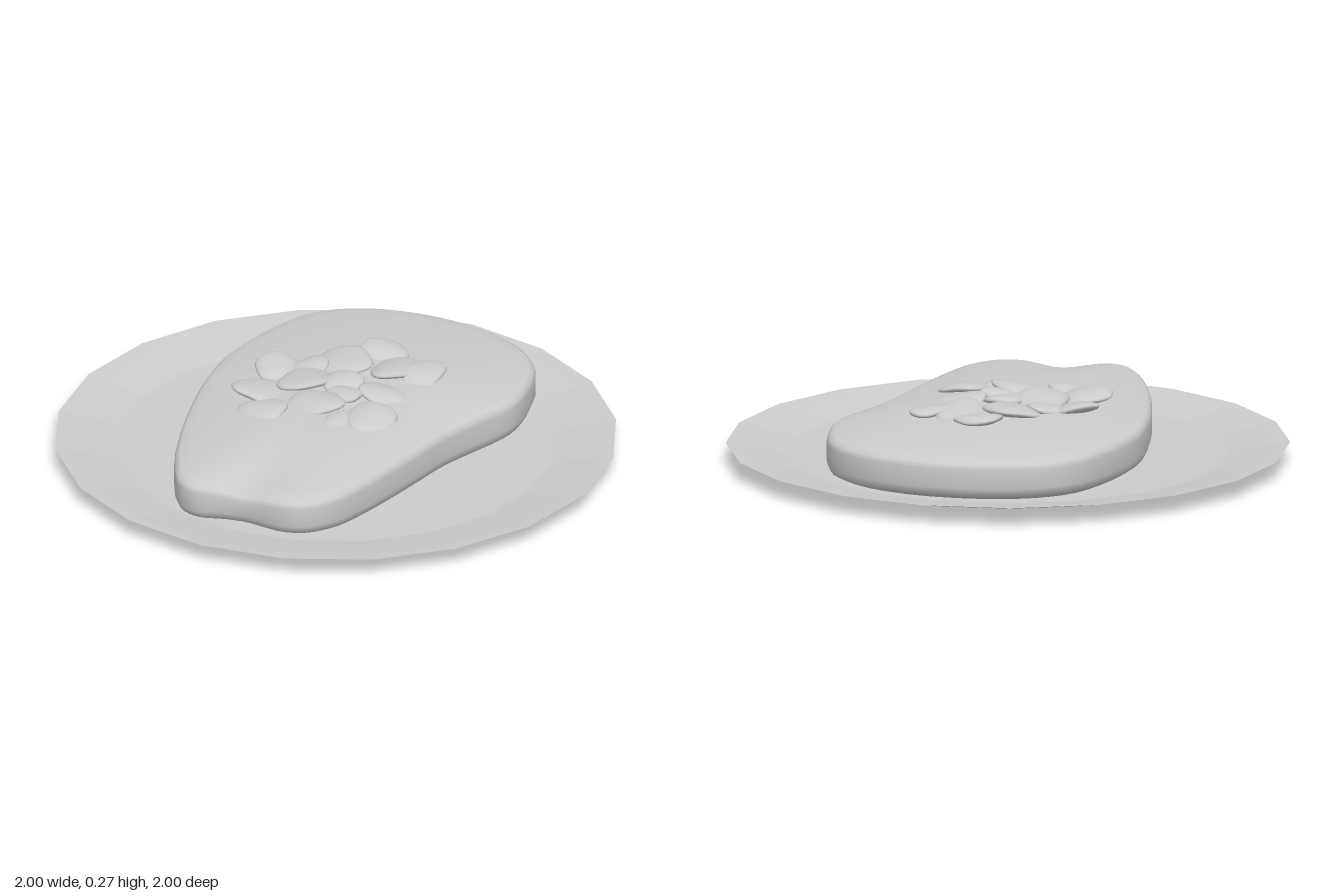
import * as THREE from 'three';

const V = (x, y) => new THREE.Vector2(x, y);
const CENTER = [0, -0.05];

// Outline of the meat, seen from above as [x, z]
const OUTLINE = [
  [0.04, -0.81], [0.2, -0.79], [0.35, -0.73], [0.46, -0.63], [0.52, -0.48], [0.54, -0.32],
  [0.5, -0.17], [0.455, 0], [0.43, 0.2], [0.41, 0.35], [0.385, 0.5], [0.35, 0.63],
  [0.28, 0.73], [0.2, 0.765], [0.04, 0.76], [-0.05, 0.78], [-0.12, 0.805], [-0.2, 0.785],
  [-0.28, 0.68], [-0.38, 0.47], [-0.45, 0.27], [-0.51, 0.05], [-0.54, -0.17], [-0.52, -0.38],
  [-0.45, -0.6], [-0.33, -0.72], [-0.15, -0.79],
];

// Rings of the meat from the underside up, as [scale, y]
const RINGS = [
  [0, 0.045], [0.94, 0.045], [0.98, 0.06], [1, 0.09], [1, 0.16], [0.99, 0.178], [0.965, 0.19],
  [0.9, 0.197], [0.78, 0.21], [0.6, 0.225], [0.4, 0.234], [0.2, 0.239], [0, 0.24],
];

// Topping slices: x, z, radius x, radius z, height of centre, tilt x, tilt z
const SLICES = [
  [-0.01, -0.37, 0.09, 0.075, 0.238, 0.1, -0.1],
  [0.09, -0.27, 0.085, 0.12, 0.236, -0.12, 0.1],
  [0.2, -0.28, 0.07, 0.105, 0.234, 0.1, -0.1],
  [-0.09, -0.22, 0.11, 0.1, 0.242, 0.1, 0.1],
  [0.15, -0.08, 0.1, 0.08, 0.23, -0.1, -0.15],
  [-0.28, -0.08, 0.08, 0.09, 0.234, 0.1, -0.18],
  [-0.18, -0.13, 0.07, 0.08, 0.234, 0.15, 0.1],
  [-0.14, -0.03, 0.09, 0.12, 0.243, -0.1, 0.1],
  [-0.01, -0.07, 0.075, 0.08, 0.242, 0.12, -0.1],
  [0.04, 0.01, 0.07, 0.055, 0.241, 0.1, 0.1],
  [-0.25, 0.11, 0.1, 0.09, 0.233, -0.1, -0.12],
  [-0.02, 0.11, 0.11, 0.085, 0.24, 0.1, 0.12],
  [0.2, 0.11, 0.09, 0.1, 0.23, 0.1, -0.12],
  [-0.17, 0.23, 0.09, 0.09, 0.223, 0.12, 0.1],
  [0.11, 0.19, 0.06, 0.07, 0.223, 0.1, -0.1],
];

function meatGeometry() {
  const curve = new THREE.CatmullRomCurve3(
    OUTLINE.map(([x, z]) => new THREE.Vector3(x, 0, z)), true);
  const n = 80;
  const edge = curve.getPoints(n).slice(0, n);
  const pos = [], index = [];
  for (const [s, y] of RINGS) {
    for (const p of edge) {
      const x = CENTER[0] + (p.x - CENTER[0]) * s;
      const z = CENTER[1] + (p.z - CENTER[1]) * s;
      // Shallow crease running in from the notch at the narrow end
      const crease = y > 0.15 && z > 0.4
        ? 0.018 * Math.exp(-(((x - 0.04) / 0.1) ** 2)) * Math.min(1, (z - 0.4) / 0.3) : 0;
      pos.push(x, y - crease, z);
    }
  }
  for (let r = 0; r < RINGS.length - 1; r++) {
    for (let i = 0; i < n; i++) {
      const a = r * n + i, b = r * n + (i + 1) % n, c = a + n, d = b + n;
      if (r > 0) index.push(a, c, b);
      if (r < RINGS.length - 2) index.push(b, c, d);
      if (r === 0) index.push(b, c, d);
    }
  }
  const geo = new THREE.BufferGeometry();
  geo.setAttribute('position', new THREE.Float32BufferAttribute(pos, 3));
  geo.setIndex(index);
  geo.computeVertexNormals();
  return geo;
}

// Flattened blob with a gently scalloped rim and a wavy top
function sliceGeometry(rx, rz, phase) {
  const geo = new THREE.SphereGeometry(1, 24, 12);
  const p = geo.attributes.position;
  for (let i = 0; i < p.count; i++) {
    const x = p.getX(i), y = p.getY(i), z = p.getZ(i);
    const a = Math.atan2(z, x), r = Math.hypot(x, z);
    const k = 1 + r * (0.05 * Math.cos(3 * a + phase) + 0.03 * Math.cos(5 * a - phase));
    const wave = 0.006 * r * r * Math.cos(2 * a + phase * 2);
    p.setXYZ(i, x * rx * k, y * 0.021 + wave, z * rz * k);
  }
  geo.computeVertexNormals();
  return geo;
}

export function createModel() {
  const group = new THREE.Group();
  const smooth = new THREE.MeshStandardMaterial({ color: 0xcccccc });
  const faceted = new THREE.MeshStandardMaterial({
    color: 0xcccccc, flatShading: true, side: THREE.DoubleSide });

  // Shallow twenty-sided plate
  const plate = new THREE.Mesh(new THREE.LatheGeometry([
    V(0, 0), V(0.715, 0), V(1, 0.07), V(0.95, 0.064), V(0.78, 0.035), V(0, 0.035),
  ], 20), faceted);
  plate.name = 'plate';
  group.add(plate);

  // Slab of meat with rounded sides and a domed top
  const meat = new THREE.Mesh(meatGeometry(), smooth);
  meat.name = 'meat';
  group.add(meat);

  // Overlapping slices heaped on top
  const topping = new THREE.Group();
  topping.name = 'topping';
  SLICES.forEach(([x, z, rx, rz, y, tiltX, tiltZ], i) => {
    const slice = new THREE.Mesh(sliceGeometry(rx, rz, i * 1.7), smooth);
    slice.name = 'toppingSlice';
    slice.position.set(x, y, z);
    slice.rotation.set(tiltX, 0, tiltZ);
    topping.add(slice);
  });
  group.add(topping);
  return group;
}
